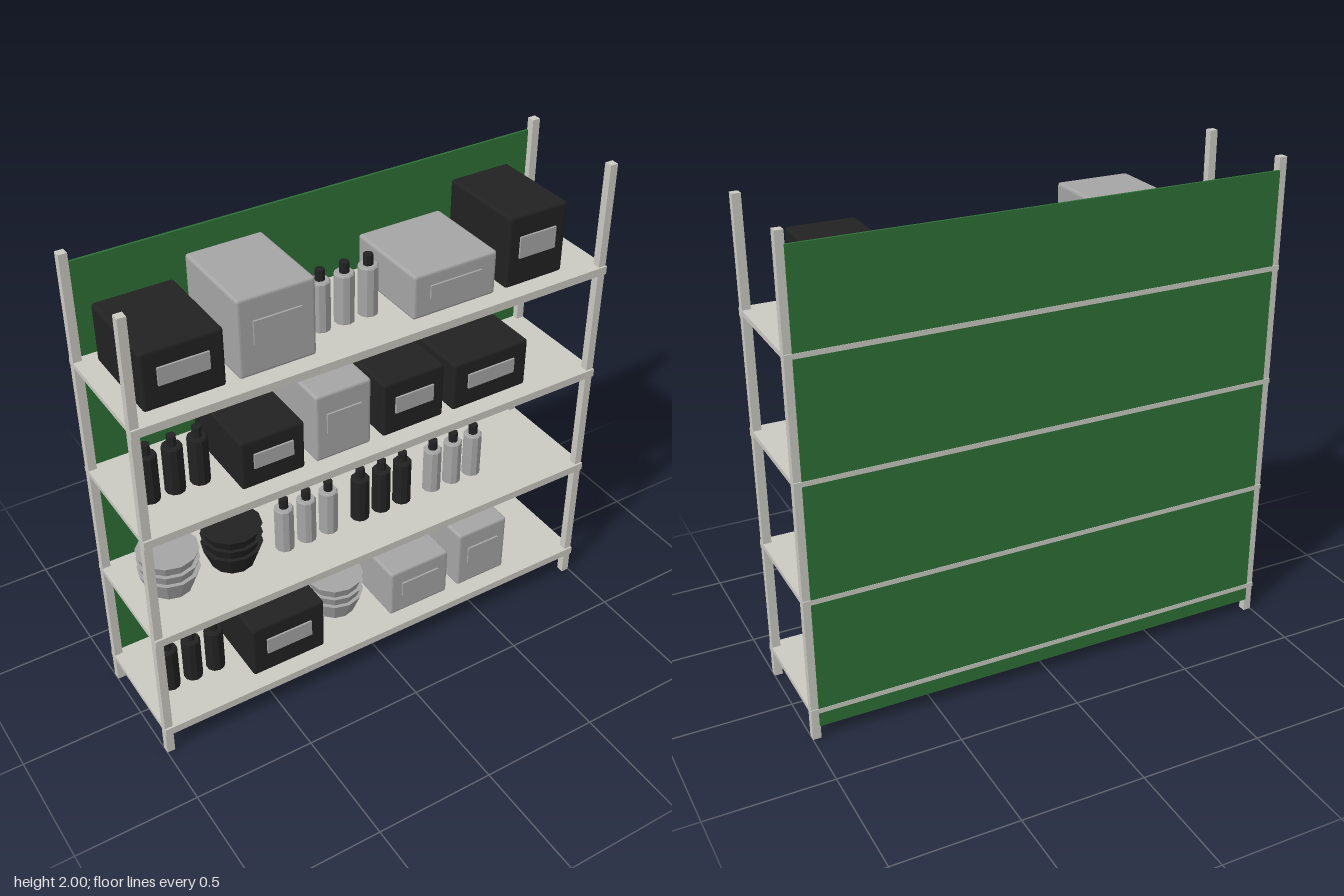
import * as THREE from 'three';
import { RoundedBoxGeometry } from 'three/addons/geometries/RoundedBoxGeometry.js';

export function createModel() {
  const mat = (name, color, flatShading = false) => {
    const m = new THREE.MeshStandardMaterial({ color, flatShading });
    m.name = name;
    return m;
  };
  const frameMat = mat('palePaint', 0xcac9c2, true);
  const green = mat('greenPanel', 0x2e7035, true);
  const grey = mat('greyPlastic', 0xa5a5a5, true);
  const black = mat('blackPlastic', 0x222222, true);

  const model = new THREE.Group();
  model.name = 'stockedShelf';

  const add = (parent, name, geometry, material, x, y, z) => {
    const mesh = new THREE.Mesh(geometry, material);
    mesh.name = name;
    mesh.position.set(x, y, z);
    parent.add(mesh);
    return mesh;
  };
  const group = (name, x, y, z) => {
    const g = new THREE.Group();
    g.name = name;
    g.position.set(x, y, z);
    model.add(g);
    return g;
  };

  // Frame: four posts and the back panel
  for (const x of [-0.983, 0.983])
    for (const z of [-0.232, 0.228])
      add(model, 'post', new THREE.BoxGeometry(0.033, 2, 0.033), frameMat, x, 1, z);
  add(model, 'backPanel', new THREE.BoxGeometry(1.94, 1.895, 0.01), green, 0, 1.003, -0.2465);

  // Shelves with a front lip
  const tops = [0.135, 0.613, 1.095, 1.573];
  for (const y of tops) {
    add(model, 'shelfBoard', new THREE.BoxGeometry(2, 0.02, 0.495), frameMat, 0, y - 0.01, -0.0055);
    add(model, 'shelfLip', new THREE.BoxGeometry(2, 0.034, 0.013), frameMat, 0, y - 0.017, 0.2465);
  }

  // Storage box with a label plate on its front
  const depth = 0.375;
  const storageBox = (material, x0, x1, base, top) => {
    const w = x1 - x0, h = top - base;
    const g = group('storageBox', (x0 + x1) / 2, base, -0.003);
    add(g, 'boxBody', new RoundedBoxGeometry(w, h, depth, 2, 0.012), material, 0, h / 2, 0);
    add(g, 'boxLabel', new THREE.BoxGeometry(w * 0.62, h * 0.3, 0.009), grey, 0, h * 0.555, depth / 2 + 0.0035);
  };

  // Bottle: faceted body with a short shoulder, then a cap
  const bodyGeo = new THREE.CylinderGeometry(0.039, 0.039, 0.195, 10);
  const shoulderGeo = new THREE.CylinderGeometry(0.034, 0.039, 0.006, 10);
  const capGeo = new THREE.CylinderGeometry(0.019, 0.019, 0.044, 8);
  const bottles = (material, firstX, base) => {
    for (let i = 0; i < 3; i++) {
      const g = group('bottle', firstX + i * 0.1005, base, 0.042);
      add(g, 'bottleBody', bodyGeo, material, 0, 0.0975, 0);
      add(g, 'bottleShoulder', shoulderGeo, material, 0, 0.198, 0);
      add(g, 'bottleCap', capGeo, black, 0, 0.221, 0);
    }
  };

  // Stack of three tapered bowls
  const bowlGeo = new THREE.CylinderGeometry(0.122, 0.088, 0.09, 12);
  const bowlStack = (material, x, base) => {
    const g = group('bowlStack', x, base, -0.002);
    for (let i = 0; i < 3; i++) add(g, 'bowl', bowlGeo, material, 0, 0.045 + i * 0.0445, 0);
  };

  const [s1, s2, s3, s4] = tops;
  // Bottom shelf
  bottles(black, -0.874, s1);
  storageBox(black, -0.572, -0.243, s1, 0.382);
  bowlStack(grey, -0.083, s1);
  storageBox(grey, 0.08, 0.366, s1, 0.361);
  storageBox(grey, 0.422, 0.666, s1, 0.412);
  // Second shelf
  bowlStack(grey, -0.813, s2);
  bowlStack(black, -0.543, s2);
  bottles(grey, -0.334, s2);
  bottles(black, 0.016, s2);
  bottles(grey, 0.366, s2);
  // Third shelf
  bottles(black, -0.874, s3);
  storageBox(black, -0.575, -0.313, s3, 1.306);
  storageBox(grey, -0.265, -0.027, s3, 1.388);
  storageBox(black, 0.027, 0.302, s3, 1.332);
  storageBox(black, 0.348, 0.698, s3, 1.306);
  // Top shelf
  storageBox(black, -0.92, -0.61, s4, 1.806);
  storageBox(grey, -0.56, -0.255, s4, 1.888);
  bottles(grey, -0.156, s4);
  storageBox(grey, 0.15, 0.515, s4, 1.755);
  storageBox(black, 0.565, 0.83, s4, 1.868);

  return model;
}
